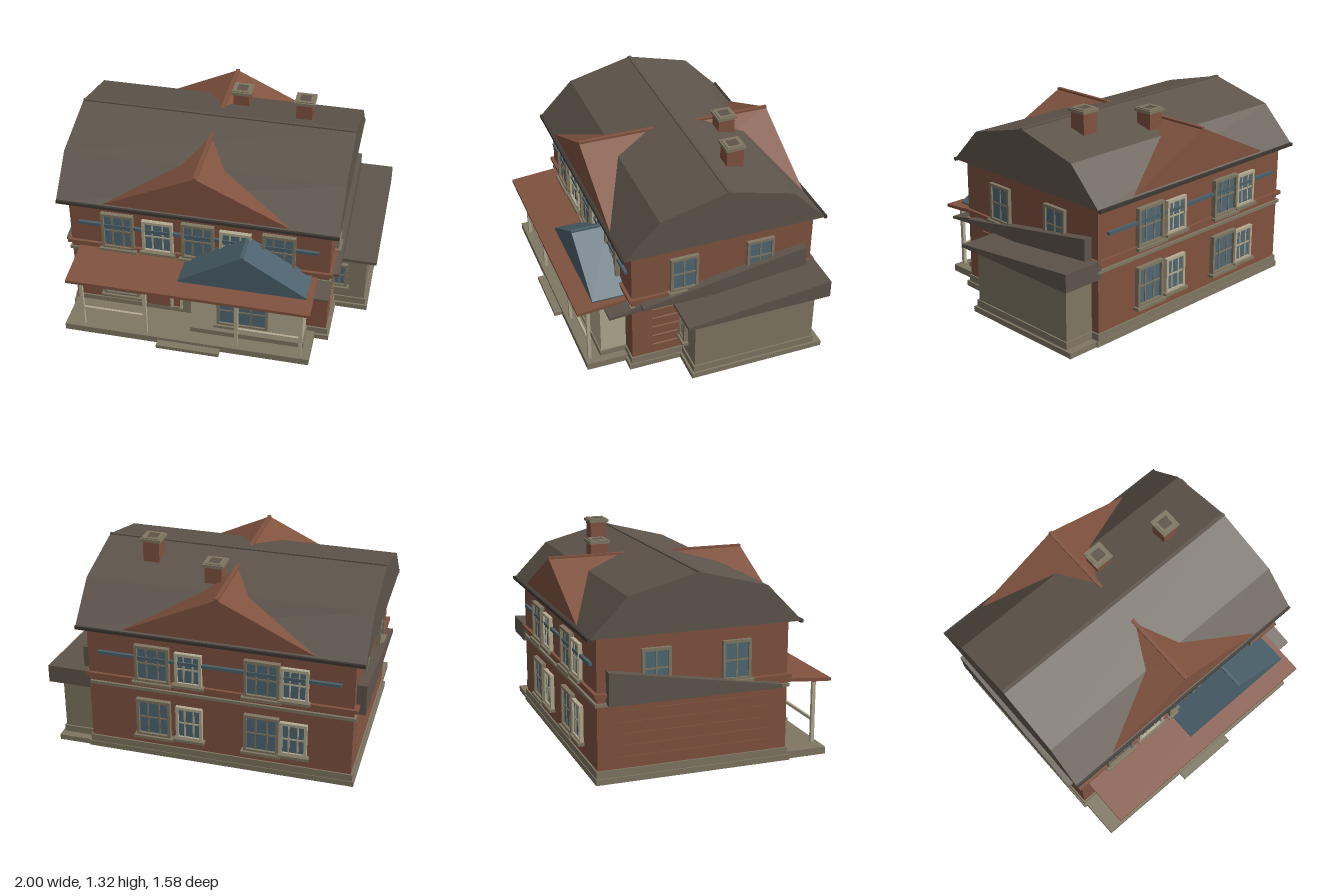
import * as THREE from 'three';

const mat = (name, color) => Object.assign(new THREE.MeshStandardMaterial({ color }), { name });
const M = {
  brick: mat('brick red', 0x80523f),
  paleBrick: mat('pale brick', 0x96705c),
  roof: mat('roof brown', 0x5e554b),
  dark: mat('dark trim', 0x3d3832),
  stone: mat('stone khaki', 0x7f7762),
  cream: mat('cream', 0xb3aa90),
  teal: mat('teal', 0x4a606a),
  glass: mat('glass blue', 0x4f6874),
};

// Box given by its limits on each axis
function box(parent, name, m, x0, x1, y0, y1, z0, z1) {
  const mesh = new THREE.Mesh(new THREE.BoxGeometry(x1 - x0, y1 - y0, z1 - z0), m);
  mesh.position.set((x0 + x1) / 2, (y0 + y1) / 2, (z0 + z1) / 2);
  mesh.name = name;
  parent.add(mesh);
  return mesh;
}

const extrude = (pts, depth) => new THREE.ExtrudeGeometry(
  new THREE.Shape(pts.map(p => new THREE.Vector2(...p))), { depth, bevelEnabled: false });

// Prism along x from a (z, y) profile
function prismX(parent, name, m, profile, x0, x1) {
  const g = extrude(profile.map(([z, y]) => [-z, y]), x1 - x0).rotateY(Math.PI / 2).translate(x0, 0, 0);
  const mesh = new THREE.Mesh(g, m);
  mesh.name = name;
  parent.add(mesh);
}

// Prism along z from an (x, y) profile
function prismZ(parent, name, m, profile, z0, z1) {
  const mesh = new THREE.Mesh(extrude(profile, z1 - z0).translate(0, 0, z0), m);
  mesh.name = name;
  parent.add(mesh);
}

// Window facing +z, centred on its base, with frame, glazing bars and optional sill
function makeWindow(w, h, frameMat, { sill = true, cols = 3, rows = 2, depth = 0.025 } = {}) {
  const g = new THREE.Group(), t = 0.018, a = w / 2;
  g.name = 'window';
  box(g, 'glass', M.glass, -a + t, a - t, t, h - t, -0.01, 0.012);
  for (const s of [-1, 1]) box(g, 'frameSide', frameMat, s * (a - t / 2) - t / 2, s * (a - t / 2) + t / 2, 0, h, -0.01, depth);
  for (const y of [0, h - t]) box(g, 'frameRail', frameMat, -a + t, a - t, y, y + t, -0.01, depth);
  for (let i = 1; i < cols; i++) {
    const x = -a + w * i / cols;
    box(g, 'glazingBar', M.stone === frameMat ? M.stone : M.cream, x - 0.005, x + 0.005, t, h - t, 0, 0.018);
  }
  for (let i = 1; i < rows; i++) {
    const y = h * i / rows;
    box(g, 'glazingBar', M.stone === frameMat ? M.stone : M.cream, -a + t, a - t, y - 0.005, y + 0.005, 0, 0.017);
  }
  if (sill) box(g, 'sill', M.stone, -a - 0.015, a + 0.015, -0.015, 0.004, -0.01, depth + 0.015);
  return g;
}

function addWindow(parent, x, y, z, turn, w, h, m, opts) {
  const g = makeWindow(w, h, m, opts);
  g.position.set(x, y, z);
  g.rotation.y = turn;
  parent.add(g);
}

export function createModel() {
  const house = new THREE.Group();
  house.name = 'house';
  const B = (...a) => box(house, ...a);

  // Stepped foundation
  B('footing', M.stone, -0.96, 0.75, 0, 0.035, -0.74, 0.49);
  B('plinth', M.stone, -0.95, 0.74, 0.035, 0.08, -0.735, 0.475);
  B('wingFooting', M.stone, 0.7, 0.96, 0, 0.035, -0.73, 0.155);
  B('wingPlinth', M.stone, 0.7, 0.945, 0.035, 0.08, -0.68, 0.14);
  B('bayPlinth', M.stone, -0.13, 0.61, 0.03, 0.08, 0.45, 0.64);
  B('porchFloor', M.stone, -0.94, 0.66, 0, 0.045, 0.45, 0.74);
  B('porchStep', M.stone, -0.32, 0.09, 0, 0.025, 0.7, 0.79);

  // Walls
  B('mainWalls', M.brick, -0.94, 0.73, 0.08, 0.89, -0.725, 0.465);
  B('wingWalls', M.stone, 0.7, 0.935, 0.08, 0.44, -0.67, 0.13);
  B('bayWalls', M.cream, -0.12, 0.6, 0.08, 0.455, 0.45, 0.63);

  // Belt courses
  B('upperBelt', M.brick, -0.965, 0.75, 0.525, 0.548, -0.745, 0.485);
  B('lowerBelt', M.stone, -0.955, 0.742, 0.468, 0.488, -0.74, 0.475);

  // Gambrel roof with eaves and ridge cap
  prismX(house, 'mainRoof', M.roof,
    [[0.525, 0.88], [0.3, 1.11], [-0.13, 1.22], [-0.555, 1.11], [-0.78, 0.88]], -1, 0.78);
  for (const z of [0.525, -0.785]) B('eaveTrim', M.dark, -1, 0.78, 0.868, 0.888, z - 0.008, z + 0.008);
  B('ridgeCap', M.roof, -1, 0.78, 1.213, 1.226, -0.14, -0.12);

  // Cross gable passing through the main roof
  prismZ(house, 'crossGable', M.brick, [[-0.7, 0.895], [0.48, 0.895], [-0.11, 1.175]], -0.77, 0.512);
  B('crossGableRidge', M.brick, -0.122, -0.098, 1.168, 1.183, -0.772, 0.514);

  // Chimneys
  for (const [x, z, top] of [[-0.005, -0.425, 1.26], [0.43, -0.295, 1.32]]) {
    B('chimneyShaft', M.brick, x - 0.052, x + 0.052, 1.0, top - 0.02, z - 0.055, z + 0.055);
    B('chimneyCap', M.stone, x - 0.065, x + 0.065, top - 0.025, top - 0.006, z - 0.065, z + 0.065);
    for (const s of [-1, 1]) {
      B('capRim', M.stone, x - 0.055, x + 0.055, top - 0.006, top, z + s * 0.045 - 0.01, z + s * 0.045 + 0.01);
      B('capRim', M.stone, x + s * 0.045 - 0.01, x + s * 0.045 + 0.01, top - 0.006, top, z - 0.035, z + 0.035);
    }
    B('flue', M.roof, x - 0.035, x + 0.035, top - 0.008, top - 0.004, z - 0.035, z + 0.035);
  }

  // Sloping side roofs and wing roof
  const wedge = [[0.41, 0.48], [0.41, 0.5], [-0.67, 0.68], [-0.67, 0.48]];
  prismX(house, 'leftSideRoof', M.roof, wedge, 0.72, 0.785);
  prismX(house, 'rightSideRoof', M.roof, wedge, -1, -0.93);
  prismX(house, 'wingRoof', M.roof, [[0.2, 0.435], [0.2, 0.455], [-0.74, 0.55], [-0.74, 0.435]], 0.72, 1);
  prismX(house, 'cornerRoof', M.roof, [[0.615, 0.44], [0.615, 0.455], [0.41, 0.495], [0.18, 0.495], [0.18, 0.455], [0.41, 0.455]], 0.6, 0.75);

  // Porch roof, posts and rails
  prismX(house, 'porchRoof', M.brick, [[0.79, 0.45], [0.79, 0.47], [0.45, 0.5], [0.45, 0.478]], -0.89, 0.66);
  B('porchBeam', M.brick, -0.85, 0.63, 0.44, 0.465, 0.695, 0.72);
  for (const x of [-0.82, -0.405, 0.19, 0.6]) B('porchPost', M.cream, x - 0.011, x + 0.011, 0.045, 0.45, 0.697, 0.719);
  for (const [a, b] of [[-0.83, -0.405], [0.19, 0.61]]) B('porchRail', M.cream, a, b, 0.18, 0.197, 0.7, 0.716);

  // Small teal gable above the bay
  prismZ(house, 'bayGable', M.teal, [[-0.19, 0.495], [0.62, 0.495], [0.62, 0.505], [0.215, 0.755], [-0.19, 0.505]], 0.45, 0.68);
  B('bayGableRidge', M.teal, 0.205, 0.225, 0.745, 0.76, 0.46, 0.682);

  // Upper windows, front: wide and narrow alternating over a rail
  B('frontWindowRail', M.teal, -0.88, 0.66, 0.69, 0.71, 0.46, 0.485);
  [-0.625, -0.365, -0.105, 0.135, 0.41].forEach((x, i) => i % 2
    ? addWindow(house, x, 0.54, 0.465, 0, 0.2, 0.24, M.cream, { depth: 0.028 })
    : addWindow(house, x, 0.53, 0.465, 0, 0.21, 0.27, M.stone, { depth: 0.03 }));

  // Back windows on both floors
  B('backWindowRail', M.teal, -0.86, 0.66, 0.69, 0.71, -0.745, -0.72);
  for (const [y, h] of [[0.54, 0.25], [0.15, 0.26]]) {
    for (const x of [0.31, -0.38]) addWindow(house, x, y, -0.725, Math.PI, 0.22, h, M.stone, { depth: 0.03 });
    for (const x of [0.08, -0.58]) addWindow(house, x, y + 0.01, -0.725, Math.PI, 0.17, h - 0.03, M.cream);
  }

  // Upper side windows and wall slats
  for (const z of [0.13, -0.37]) {
    addWindow(house, 0.73, 0.545, z, Math.PI / 2, 0.18, 0.245, M.stone, { cols: 2 });
    addWindow(house, -0.94, 0.545, z, -Math.PI / 2, 0.18, 0.245, M.stone, { cols: 2 });
  }
  for (let i = 0; i < 5; i++) {
    const y = 0.145 + i * 0.07;
    B('leftSlat', M.paleBrick, 0.725, 0.734, y, y + 0.006, 0.16, 0.335);
    B('rightSlat', M.brick, -0.945, -0.935, y, y + 0.006, -0.6, 0.335);
  }

  // Ground-floor front windows
  addWindow(house, -0.625, 0.13, 0.465, 0, 0.24, 0.28, M.stone);
  addWindow(house, 0.215, 0.155, 0.63, 0, 0.33, 0.24, M.stone);
  addWindow(house, 0.765, 0.175, 0.13, 0, 0.1, 0.185, M.stone, { cols: 2 });

  // Two front doors, each with a glazed panel
  for (const [x, w, leaf] of [[-0.38, 0.18, M.brick], [-0.165, 0.12, M.stone]]) {
    const a = w / 2;
    B('doorLeaf', leaf, x - a, x + a, 0.08, 0.42, 0.46, 0.475);
    B('doorHead', M.cream, x - a - 0.012, x + a + 0.012, 0.42, 0.435, 0.46, 0.485);
    for (const s of [-1, 1]) B('doorJamb', M.cream, x + s * a - 0.008, x + s * a + 0.008, 0.08, 0.42, 0.46, 0.485);
    addWindow(house, x, 0.26, 0.47, 0, w * 0.76, 0.1, M.stone, { sill: false, depth: 0.012 });
  }
  B('doorKnob', M.dark, -0.325, -0.313, 0.215, 0.227, 0.47, 0.488);

  return house;
}
